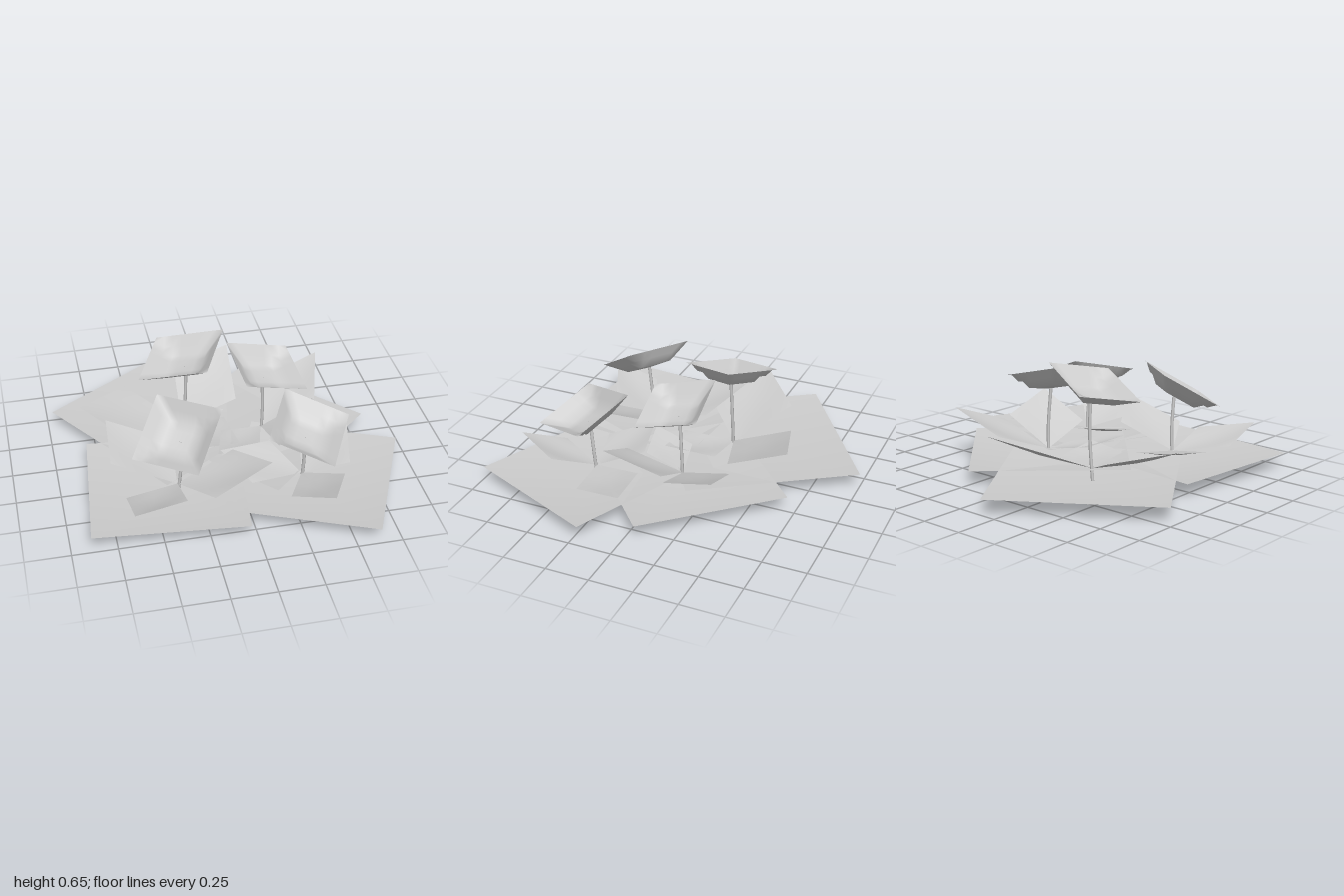
import * as THREE from 'three';

const vec = p => new THREE.Vector3(...p);
const grey = new THREE.MeshStandardMaterial({ color: 0xcccccc, side: THREE.DoubleSide });
grey.name = 'light grey';

function surface(pos, idx) {
  const g = new THREE.BufferGeometry();
  g.setAttribute('position', new THREE.Float32BufferAttribute(pos, 3));
  g.setIndex(idx);
  g.computeVertexNormals();
  return g;
}

// Upward unit normal of the parallelogram with consecutive corners a, b, c
function upNormal(a, b, c) {
  const n = c.clone().sub(b).cross(a.clone().sub(b)).normalize();
  return n.y < 0 ? n.negate() : n;
}

// Parallelogram card through corners a, b, c; dip(u, v) sinks it along its normal
function card(a, b, c, n, dip) {
  const normal = upNormal(a, b, c), ba = a.clone().sub(b), bc = c.clone().sub(b);
  const pos = [], idx = [];
  for (let j = 0; j <= n; j++) {
    for (let i = 0; i <= n; i++) {
      const u = i / n, v = j / n;
      const p = b.clone().addScaledVector(ba, u).addScaledVector(bc, v);
      p.addScaledVector(normal, -dip(u * 2 - 1, v * 2 - 1));
      pos.push(p.x, p.y, p.z);
      if (i < n && j < n) {
        const k = j * (n + 1) + i;
        idx.push(k, k + n + 1, k + 1, k + 1, k + n + 1, k + n + 2);
      }
    }
  }
  return surface(pos, idx);
}

// Square dish grown from one rim edge: flat rim, lowest at the stem
function groundDish([ax, az], [bx, bz], low) {
  const px = (bz - az) * 1.02, pz = (ax - bx) * 1.02, rim = 0.086;
  return surface([
    ax, rim, az, bx, rim, bz, bx + px, rim, bz + pz, ax + px, rim, az + pz, ...low,
  ], [0, 4, 1, 1, 4, 2, 2, 4, 3, 3, 4, 0]);
}

// One plant: stem foot, a ground leaf edge, three flower corners, and [tip, side] of each leaf
function makePlant(foot, edge, flower, leaves) {
  const plant = new THREE.Group();
  plant.name = 'plant';
  const add = (name, geometry) => {
    const mesh = new THREE.Mesh(geometry, grey);
    mesh.name = name;
    plant.add(mesh);
  };
  add('groundLeaf', groundDish(edge[0], edge[1], foot));

  // Bowl-shaped flower head with a softly flattened floor
  const depth = 0.09, [a, b, c] = flower.map(vec);
  add('flowerHead', card(a, b, c, 8, (u, v) => {
    const inward = 1 - Math.max(Math.abs(u), Math.abs(v));
    return depth * (Math.min(1, inward / 0.5) * 0.85 + inward * 0.15);
  }));

  // Gently bowed stem up to the floor of the bowl
  const base = vec(foot);
  const top = a.clone().lerp(c, 0.5).addScaledVector(upNormal(a, b, c), -depth);
  const middle = base.clone().lerp(top, 0.5).add(new THREE.Vector3(0.008, 0, -0.004));
  add('stem', new THREE.TubeGeometry(new THREE.CatmullRomCurve3([base, middle, top]), 6, 0.01, 5));

  // Raised leaves spreading from the stem, sagging slightly
  const root = base.clone().setY(0.08);
  for (const [tip, side] of leaves) {
    add('leaf', card(vec(tip), vec(side), root, 4, (u, v) => 0.015 * (1 - u * u) * (1 - v * v)));
  }
  return plant;
}

export function createModel() {
  const model = new THREE.Group();
  model.name = 'flowerCluster';

  // Back left
  model.add(makePlant([-0.23, 0.006, -0.2], [[-0.15, -1], [-0.97, -0.46]],
    [[0.035, 0.655, -0.265], [-0.33, 0.55, -0.425], [-0.49, 0.485, -0.1]],
    [
      [[0.14, 0.295, -0.66], [-0.21, 0.24, -0.56]],
      [[-0.825, 0.285, -0.19], [-0.53, 0.22, -0.45]],
      [[0.05, 0.12, 0.12], [0.02, 0.1, -0.18]],
    ]));

  // Front left
  model.add(makePlant([-0.36, 0.003, 0.365], [[-0.81, -0.1], [-0.89, 0.735]],
    [[-0.43, 0.57, 0.185], [-0.62, 0.365, 0.465], [-0.3, 0.37, 0.685]],
    [
      [[-0.69, 0.23, -0.11], [-0.34, 0.14, 0.03]],
      [[-0.655, 0.22, 0.765], [-0.35, 0.165, 0.63]],
      [[0.13, 0.3, 0.57], [-0.2, 0.17, 0.645]],
    ]));

  // Back right
  model.add(makePlant([0.22, 0.005, -0.07], [[0.835, -0.055], [0.24, -0.705]],
    [[0.04, 0.61, -0.19], [0.08, 0.53, 0.16], [0.44, 0.44, 0.125]],
    [
      [[0.64, 0.325, -0.415], [0.31, 0.2, -0.39]],
      [[0.555, 0.325, 0.26], [0.53, 0.23, -0.075]],
      [[-0.1, 0.15, 0.24], [-0.03, 0.12, -0.02]],
    ]));

  // Front right
  model.add(makePlant([0.34, 0.002, 0.415], [[0.63, 0.99], [0.96, 0.22]],
    [[0.28, 0.54, 0.235], [0.105, 0.46, 0.575], [0.435, 0.335, 0.72]],
    [
      [[-0.09, 0.18, 0.245], [0.21, 0.15, 0.175]],
      [[0.695, 0.14, 0.105], [0.63, 0.09, 0.395]],
      [[0.41, 0.23, 0.855], [0.535, 0.18, 0.6]],
    ]));
  return model;
}
